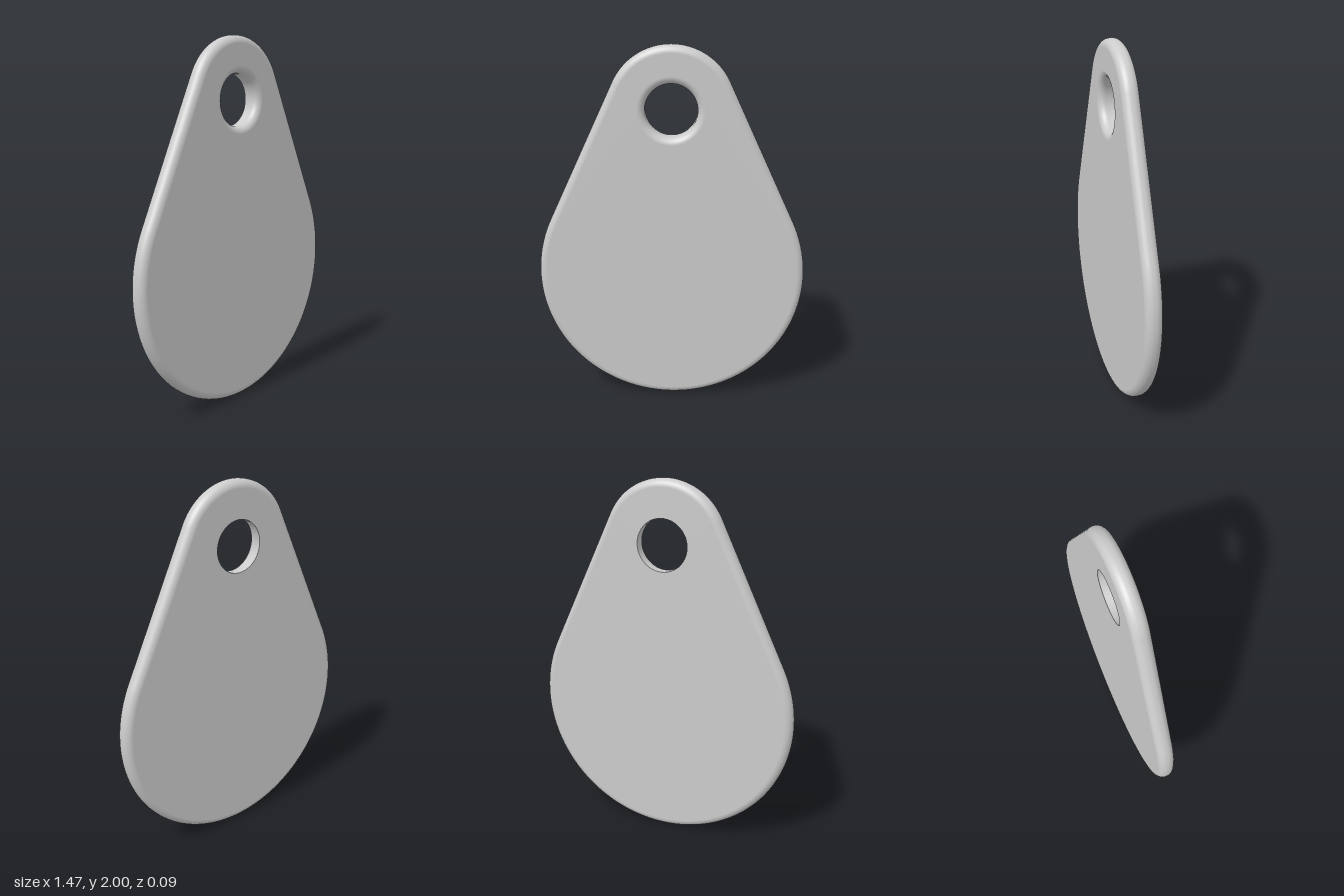
import * as THREE from 'three';

const H = 0.046;                                    // half thickness
const BIG = 0.735, SMALL = 0.34, HOLE = 0.14;       // radii
const Y_BIG = BIG, Y_SMALL = 2 - SMALL;             // arc centres
const EDGE = 0.043, FILLET = 0.04;                  // rounding of rim and hole

// Outline stations: normal angle and which arc it belongs to, anticlockwise.
function outlineStations() {
  const tilt = Math.asin((BIG - SMALL) / (Y_SMALL - Y_BIG));
  const stations = [];
  const arc = (from, to, n, top) => {
    for (let i = 0; i <= n; i++) stations.push({ a: from + (to - from) * i / n, top });
  };
  arc(tilt, Math.PI - tilt, 56, true);
  arc(Math.PI - tilt, 2 * Math.PI + tilt, 96, false);
  stations.push(stations[0]);
  return stations;
}

// Cross-section from the hole's back edge, over the front and rim, to the back again.
// s: radius in the hole or inset from the outline; ns, nz: surface normal.
function section() {
  const rings = [{ hole: true, s: HOLE, z: -H, ns: -1, nz: 0 }];
  for (let i = 0; i <= 10; i++) {
    const t = Math.PI / 2 * i / 10, c = Math.cos(t), k = Math.sin(t);
    rings.push({ hole: true, s: HOLE + FILLET * (1 - c), z: H - FILLET * (1 - k), ns: -c, nz: k });
  }
  for (const side of [1, -1]) {
    for (let i = 0; i <= 10; i++) {
      const t = Math.PI / 2 * (side > 0 ? 1 - i / 10 : i / 10);
      const c = Math.cos(t), k = Math.sin(t);
      rings.push({ s: EDGE * (1 - c), z: side * (H - EDGE * (1 - k)), ns: c, nz: side * k });
    }
  }
  rings.push({ hole: true, s: HOLE, z: -H, ns: 0, nz: -1 });
  return rings;
}

function tagGeometry() {
  const stations = outlineStations(), rings = section(), n = stations.length;
  const pos = [], nor = [], index = [];
  for (const r of rings) {
    for (const { a, top } of stations) {
      const c = Math.cos(a), k = Math.sin(a);
      const rad = r.hole ? r.s : (top ? SMALL : BIG) - r.s;
      const cy = r.hole || top ? Y_SMALL : Y_BIG;
      pos.push(rad * c, cy + rad * k, r.z);
      nor.push(r.ns * c, r.ns * k, r.nz);
    }
  }
  for (let i = 0; i < rings.length - 1; i++) {
    for (let j = 0; j < n - 1; j++) {
      const a = i * n + j, b = a + n;
      index.push(a, b, b + 1, a, b + 1, a + 1);
    }
  }
  const g = new THREE.BufferGeometry();
  g.setAttribute('position', new THREE.Float32BufferAttribute(pos, 3));
  g.setAttribute('normal', new THREE.Float32BufferAttribute(nor, 3));
  g.setIndex(index);
  return g;
}

export function createModel() {
  const group = new THREE.Group();
  group.name = 'keyTag';
  // Teardrop plate with a rounded rim and a hole softened on the front only
  const plate = new THREE.Mesh(tagGeometry(), new THREE.MeshStandardMaterial({ color: 0xcccccc }));
  plate.name = 'tagPlate';
  group.add(plate);
  return group;
}
